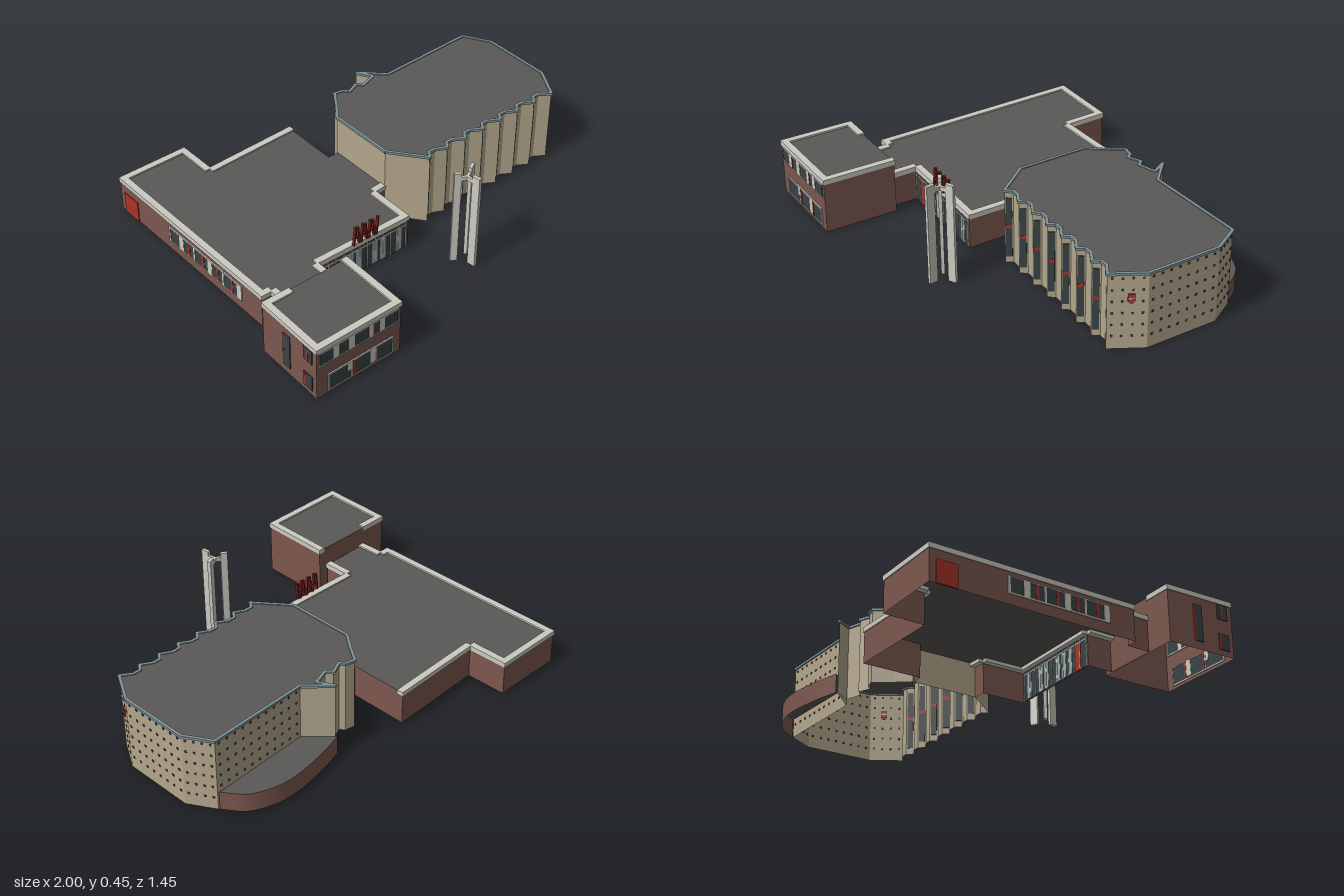
import * as THREE from 'three';
import { mergeGeometries } from 'three/addons/utils/BufferGeometryUtils.js';

const paint = (name, color) => {
  const m = new THREE.MeshStandardMaterial({ color, side: THREE.DoubleSide });
  m.name = name;
  return m;
};
const brick = paint('brick', 0x7c574e), stone = paint('beige stone', 0xb3a78d);
const roofGrey = paint('roof grey', 0x5b5957), white = paint('off white', 0xcbcac1);
const glass = paint('dark glass', 0x394244), pale = paint('pale blind', 0x9fb0b2);
const teal = paint('blue grey coping', 0x7d9296), red = paint('red', 0xa8332a);
const darkRed = paint('dark red', 0x74221d), hole = paint('dark opening', 0x45352f);

// Box laid along the plan edge a-b between fractions t0 and t1; off shifts it sideways
function strip([a, b], t0, t1, y0, y1, depth = 0.008, off = 0, extra = 0) {
  const dx = b[0] - a[0], dz = b[1] - a[1], len = Math.hypot(dx, dz), t = (t0 + t1) / 2;
  const g = new THREE.BoxGeometry(len * (t1 - t0) + extra, y1 - y0, depth);
  g.rotateY(-Math.atan2(dz, dx));
  return g.translate(a[0] + dx * t - dz / len * off, (y0 + y1) / 2, a[1] + dz * t + dx / len * off);
}

// Open-bottomed wall sheet following the plan points
function walls(pts, y0, y1) {
  const p = [];
  for (let i = 0; i < pts.length - 1; i++) {
    const [a, b] = [pts[i], pts[i + 1]];
    p.push(a[0], y0, a[1], b[0], y0, b[1], b[0], y1, b[1], a[0], y0, a[1], b[0], y1, b[1], a[0], y1, a[1]);
  }
  const g = new THREE.BufferGeometry();
  g.setAttribute('position', new THREE.Float32BufferAttribute(p, 3));
  g.computeVertexNormals();
  return g;
}

function roof(pts, y) {
  const s = new THREE.Shape(pts.map(([x, z]) => new THREE.Vector2(x, -z)));
  return new THREE.ShapeGeometry(s).rotateX(-Math.PI / 2).translate(0, y, 0);
}

const edges = pts => pts.slice(1).map((b, i) => [pts[i], b]);
const close = pts => [...pts, pts[0]];

export function createModel() {
  const model = new THREE.Group();
  let part;
  const begin = name => { part = new THREE.Group(); part.name = name; model.add(part); };
  const add = (name, mat, geos) => {
    const m = new THREE.Mesh(Array.isArray(geos) ? mergeGeometries(geos) : geos, mat);
    m.name = name;
    part.add(m);
  };
  // All plans run with the interior on the left hand, so positive off is inward
  const coping = (pts, y0, y1) => edges(pts).map(e => strip(e, 0, 1, y0, y1, 0.03, 0.011, 0.007));

  // Low hall
  begin('hall');
  const hall = [[0.14, -0.36], [0.07, -0.1], [0.12, -0.085], [0.04, 0.21], [-0.015, 0.2], [-0.07, 0.4],
    [-0.52, 0.27], [-0.55, 0.385], [-0.78, 0.325], [-0.755, 0.22], [-0.8, 0.208], [-0.56, -0.725],
    [-0.245, -0.64], [-0.29, -0.46]];
  add('hallWalls', brick, walls(close(hall), 0.005, 0.158));
  add('hallRoof', roofGrey, roof(hall, 0.158));
  add('hallCoping', white, [...coping(hall.slice(3, 8), 0.143, 0.165),
    ...coping([...hall.slice(8), hall[0]], 0.143, 0.165)]);

  // Glazed hall entrance
  const front = [hall[6], hall[5]];
  add('entranceGlass', glass, strip(front, 0.02, 0.97, 0.008, 0.143, 0.006));
  add('entranceBlinds', pale, [0.23, 0.32, 0.41, 0.59, 0.68, 0.86].map(t => strip(front, t, t + 0.06, 0.012, 0.13, 0.009)));
  add('entranceDoor', red, strip(front, 0.1, 0.17, 0.008, 0.125, 0.01));
  add('entranceMullions', white, [
    ...Array.from({ length: 12 }, (_, i) => strip(front, 0.015 + i * 0.0865, 0.024 + i * 0.0865, 0.008, 0.143, 0.013)),
    strip(front, 0.02, 0.97, 0.125, 0.13, 0.012)]);

  // Rooftop sculpture of slanting red rods
  const rods = [];
  for (let i = 0; i < 7; i++) {
    const g = new THREE.BoxGeometry(0.009, 0.088, 0.01);
    g.rotateZ(i % 2 ? 0.14 : -0.12);
    rods.push(g.translate(-0.345 + i * 0.0185, 0.207, 0.325 + i * 0.0053));
  }
  rods.push(strip([[-0.35, 0.326], [-0.23, 0.36]], 0, 1, 0.195, 0.202, 0.008));
  add('roofSculpture', darkRed, rods);

  // Window ribbon and door on the long side of the hall
  const side = [hall[11], hall[10]];
  add('sideWindows', glass, strip(side, 0.37, 0.86, 0.055, 0.122, 0.007));
  add('sideWindowFrames', white, [strip(side, 0.365, 0.865, 0.05, 0.056, 0.01), strip(side, 0.365, 0.865, 0.121, 0.126, 0.01),
    ...[0.365, 0.44, 0.54, 0.64, 0.74, 0.84].map((t, i) => strip(side, t, t + (i % 2 ? 0.03 : 0.01), 0.053, 0.123, 0.01))]);
  add('sideRedPanels', red, [strip(side, 0.03, 0.13, 0.005, 0.105, 0.008),
    ...[0.5, 0.6, 0.7, 0.8].map(t => strip(side, t, t + 0.013, 0.055, 0.122, 0.01))]);

  // Two-storey block
  begin('cornerBlock');
  const block = [[-0.51, 0.402], [-0.6, 0.715], [-0.995, 0.61], [-0.905, 0.295]];
  add('blockWalls', brick, walls(close(block), 0.005, 0.247));
  add('blockRoof', roofGrey, roof(block, 0.247));
  add('blockCoping', white, coping([...block, [-0.785, 0.328]], 0.233, 0.255));
  const face = [block[2], block[1]];
  add('blockGlass', glass, [strip(face, 0.04, 0.96, 0.165, 0.228, 0.006), strip(face, 0.14, 0.9, 0.022, 0.1, 0.006)]);
  add('blockFrames', white, [
    ...[[0.19, 0.25], [0.37, 0.44], [0.61, 0.66], [0.74, 0.8]].map(([s, e]) => strip(face, s, e, 0.165, 0.228, 0.009)),
    ...[[0.03, 0.97, 0.163], [0.03, 0.97, 0.227], [0.13, 0.91, 0.018], [0.13, 0.91, 0.098]].map(([s, e, y]) => strip(face, s, e, y, y + 0.005, 0.01)),
    ...[0.13, 0.4, 0.7, 0.9].map(t => strip(face, t, t + 0.012, 0.02, 0.1, 0.01)),
    strip(face, 0.36, 0.43, 0.06, 0.1, 0.008), strip(face, 0.63, 0.7, 0.03, 0.1, 0.008)]);
  add('blockRedPosts', red, [strip(face, 0.25, 0.265, 0.165, 0.228, 0.01), strip(face, 0.42, 0.44, 0.022, 0.1, 0.011),
    strip(face, 0.7, 0.72, 0.022, 0.1, 0.011), strip(face, 0.66, 0.672, 0.165, 0.228, 0.01)]);
  const west = [block[3], block[2]];
  add('blockSideWindows', glass, [strip(west, 0.4, 0.52, 0.04, 0.2), strip(west, 0.77, 0.93, 0.165, 0.228), strip(west, 0.77, 0.93, 0.03, 0.1)]);
  add('blockSidePanels', red, [strip(west, 0.39, 0.41, 0.04, 0.2, 0.009), strip(west, 0.83, 0.86, 0.165, 0.228, 0.009),
    strip(west, 0.77, 0.8, 0.03, 0.1, 0.009)]);

  // Tall church hall with a saw-tooth front
  begin('church');
  const teeth = [], slots = [];
  for (let i = 0; i < 7; i++) {
    const x = 0.112 + i * 0.0983, z = 0.38 + i * 0.0258 - (i === 0 ? 0 : 0.004);
    teeth.push([x, z], [x + 0.028, z - 0.022], [x + 0.06, z - 0.013]);
    slots.push([[x, z], [x + 0.028, z - 0.022]]);
  }
  const east = [[0.8, 0.56], [0.91, 0.45], [0.995, 0.14], [0.96, 0.01], [0.51, -0.095]];
  const church = [[0.04, 0.21], ...teeth, ...east, [0.44, -0.215], [0.46, -0.14], [0.38, -0.135], [0.365, -0.165],
    [0.305, -0.155], [0.295, -0.18], [0.255, -0.2], [0.185, -0.14], [0.12, -0.09]];
  add('churchWalls', stone, walls(close(church), 0.005, 0.338));
  add('churchRoof', roofGrey, roof(church, 0.342));
  add('churchCoping', teal, edges(close(church)).map(e => strip(e, 0, 1, 0.335, 0.346, 0.013, 0, 0.006)));
  add('slotWindows', glass, slots.map(e => strip(e, 0.1, 0.85, 0.035, 0.31)));
  add('slotPanels', red, slots.map(e => strip(e, 0.1, 0.85, 0.172, 0.186, 0.0095)));

  // Grid of small openings in the plain walls
  const dots = [];
  edges(east).forEach((e, k) => {
    const n = [4, 8, 4, 11][k], len = Math.hypot(e[1][0] - e[0][0], e[1][1] - e[0][1]), h = 0.0045 / len;
    for (let c = 0; c < n; c++) for (let r = 0; r < 6; r++) {
      const t = (c + 0.5) / n, y = 0.063 + r * 0.0515;
      dots.push(strip(e, t - h, t + h, y - 0.0045, y + 0.0045, 0.005));
    }
  });
  add('wallOpenings', hole, dots);
  const corner = [east[0], east[1]];
  add('wallPlaque', red, [strip(corner, 0.5, 0.68, 0.22, 0.252, 0.012), strip(corner, 0.54, 0.64, 0.212, 0.22, 0.012)]);
  add('plaqueBand', white, strip(corner, 0.52, 0.66, 0.232, 0.238, 0.014));

  // Low curved annex behind the church
  begin('curvedAnnex');
  const arc = new THREE.CatmullRomCurve3([[0.44, -0.225], [0.565, -0.223], [0.73, -0.203], [0.83, -0.165], [0.915, -0.095], [0.957, 0.005]]
    .map(([x, z]) => new THREE.Vector3(x, 0, z))).getPoints(24).map(v => [v.x, v.z]);
  add('annexWall', brick, walls(arc, 0.005, 0.092));
  add('annexRoof', roofGrey, roof([...arc, [0.51, -0.095]], 0.09));

  // Freestanding bell frame: three fins tied near the top
  begin('bellFrame');
  const hub = [0, 0.625];
  const arms = [[-0.039, 0.587], [0.065, 0.612], [-0.01, 0.692]].map(tip => [hub, tip]);
  add('fins', white, arms.map(e => strip(e, 0.45, 1, 0, 0.447, 0.015)));
  add('finTies', white, arms.map(e => strip(e, 0, 0.5, 0.41, 0.428, 0.012)));
  return model;
}
